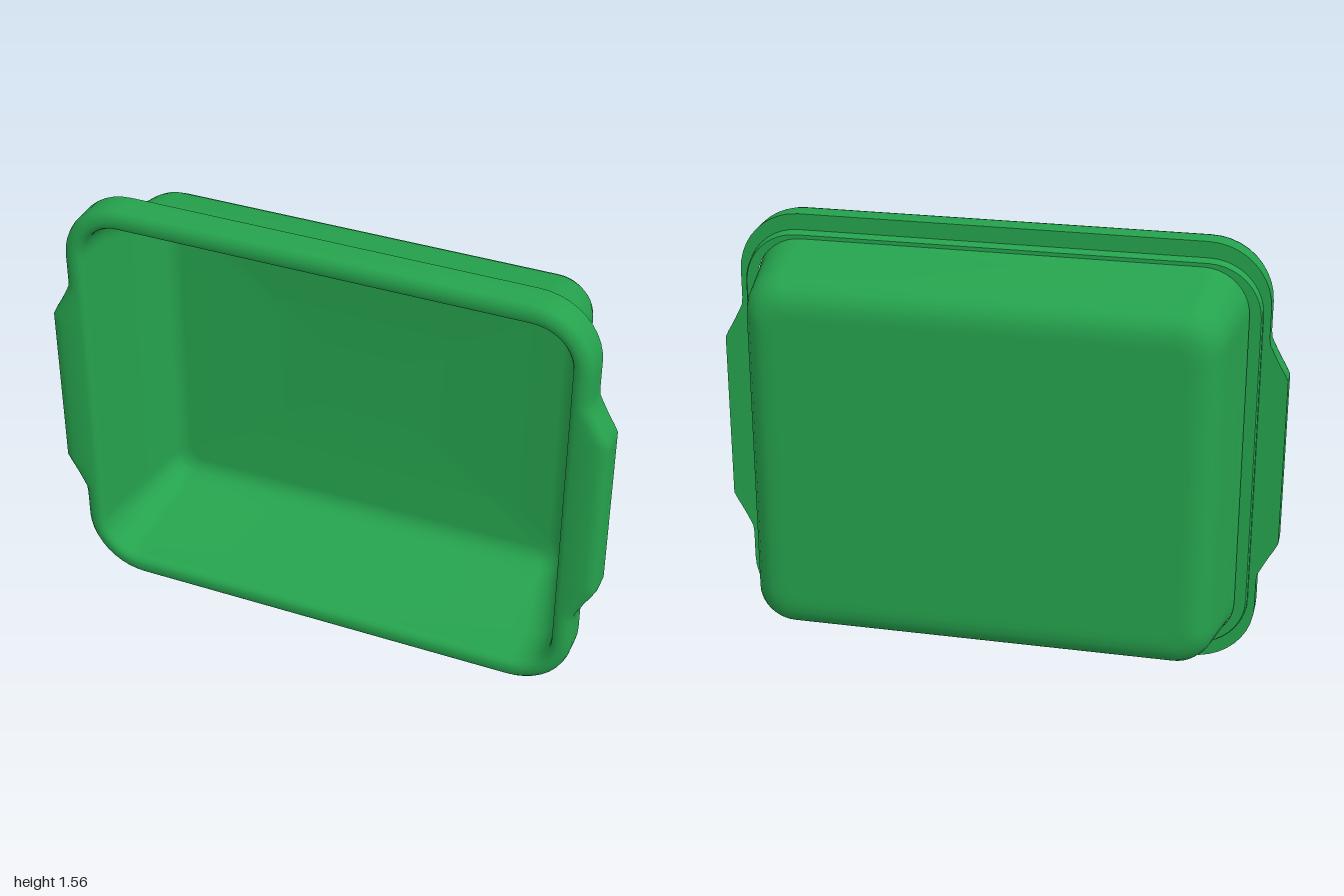
import * as THREE from 'three';
import { toCreasedNormals } from 'three/addons/utils/BufferGeometryUtils.js';

const CY = 0.782; // height of the tray's centre
const CORNER = 10, SIDE = 44;

// Sideways bulge of the two grips, by distance from mid height
const grip = (y) => 0.07 * (1 - THREE.MathUtils.clamp((Math.abs(y) - 0.315) / 0.125, 0, 1) ** 0.85);

// Rounded rectangle, counter-clockwise seen from the front
function loop([hx, hy, z, r, g = 0]) {
  const pts = [];
  const corner = (sx, sy, start) => {
    for (let i = 0; i <= CORNER; i++) {
      const a = start + (i / CORNER) * Math.PI / 2;
      pts.push([sx * (hx - r) + r * Math.cos(a), sy * (hy - r) + r * Math.sin(a)]);
    }
  };
  const side = (s) => {
    for (let i = 1; i < SIDE; i++) {
      const y = s * (hy - r) * (2 * i / SIDE - 1);
      pts.push([s * (hx + g * grip(y)), y]);
    }
  };
  side(1);
  corner(1, 1, 0);
  corner(-1, 1, Math.PI / 2);
  side(-1);
  corner(-1, -1, Math.PI);
  corner(1, -1, Math.PI * 1.5);
  return pts.map(([x, y]) => [x, y + CY, z]);
}

// Skin a series of loops
function loft(sections) {
  const rings = sections.map(loop), n = rings[0].length, index = [];
  for (let i = 0; i < rings.length - 1; i++) {
    for (let k = 0; k < n; k++) {
      const a = i * n + k, b = i * n + (k + 1) % n, c = a + n, d = b + n;
      index.push(a, c, b, b, c, d);
    }
  }
  const geo = new THREE.BufferGeometry();
  geo.setAttribute('position', new THREE.Float32BufferAttribute(rings.flat(2), 3));
  geo.setIndex(index);
  return toCreasedNormals(geo, 0.75);
}

export function createModel() {
  const group = new THREE.Group();
  group.name = 'tray';
  const green = new THREE.MeshStandardMaterial({ color: 0x25a24d });
  green.name = 'green';
  const add = (name, sections) => {
    const mesh = new THREE.Mesh(loft(sections), green);
    mesh.name = name;
    group.add(mesh);
  };

  // Sections: half width, half height, z, corner radius, grip amount
  add('basin', [
    [0, 0, -0.2, 0],
    [0.71, 0.54, -0.2, 0.05],
    [0.735, 0.565, -0.197, 0.06],
    [0.76, 0.59, -0.18, 0.07],
    [0.776, 0.607, -0.15, 0.08],
    [0.785, 0.62, -0.11, 0.09],
    [0.845, 0.685, 0.1, 0.12],
    [0.86, 0.705, 0.205, 0.14],
  ]);

  // Rolled rim with the side grips
  add('rim', [
    [0.86, 0.705, 0.205, 0.14],
    [0.863, 0.709, 0.222, 0.143],
    [0.871, 0.717, 0.234, 0.15],
    [0.884, 0.73, 0.239, 0.165],
    [0.897, 0.749, 0.239, 0.19, 0.9],
    [0.914, 0.766, 0.234, 0.205, 0.95],
    [0.926, 0.778, 0.222, 0.216, 1],
    [0.93, 0.782, 0.205, 0.22, 1],
    [0.93, 0.782, 0.13, 0.22, 1],
    [0.905, 0.725, 0.13, 0.19],
  ]);

  // Step under the rim
  add('ledge', [
    [0.905, 0.725, 0.13, 0.19],
    [0.905, 0.718, 0.11, 0.19],
    [0.9, 0.714, 0.104, 0.185],
    [0.86, 0.7, 0.104, 0.16],
  ]);

  add('outerShell', [
    [0.86, 0.705, 0.12, 0.16],
    [0.853, 0.694, 0.08, 0.155],
    [0.845, 0.685, 0.03, 0.15],
    [0.818, 0.653, -0.14, 0.13],
    [0.808, 0.643, -0.173, 0.125],
    [0.79, 0.625, -0.204, 0.115],
    [0.768, 0.602, -0.225, 0.1],
    [0.741, 0.573, -0.237, 0.085],
    [0.71, 0.54, -0.24, 0.07],
    [0.69, 0.52, -0.24, 0.06],
    [0, 0, -0.24, 0],
  ]);
  return group;
}
